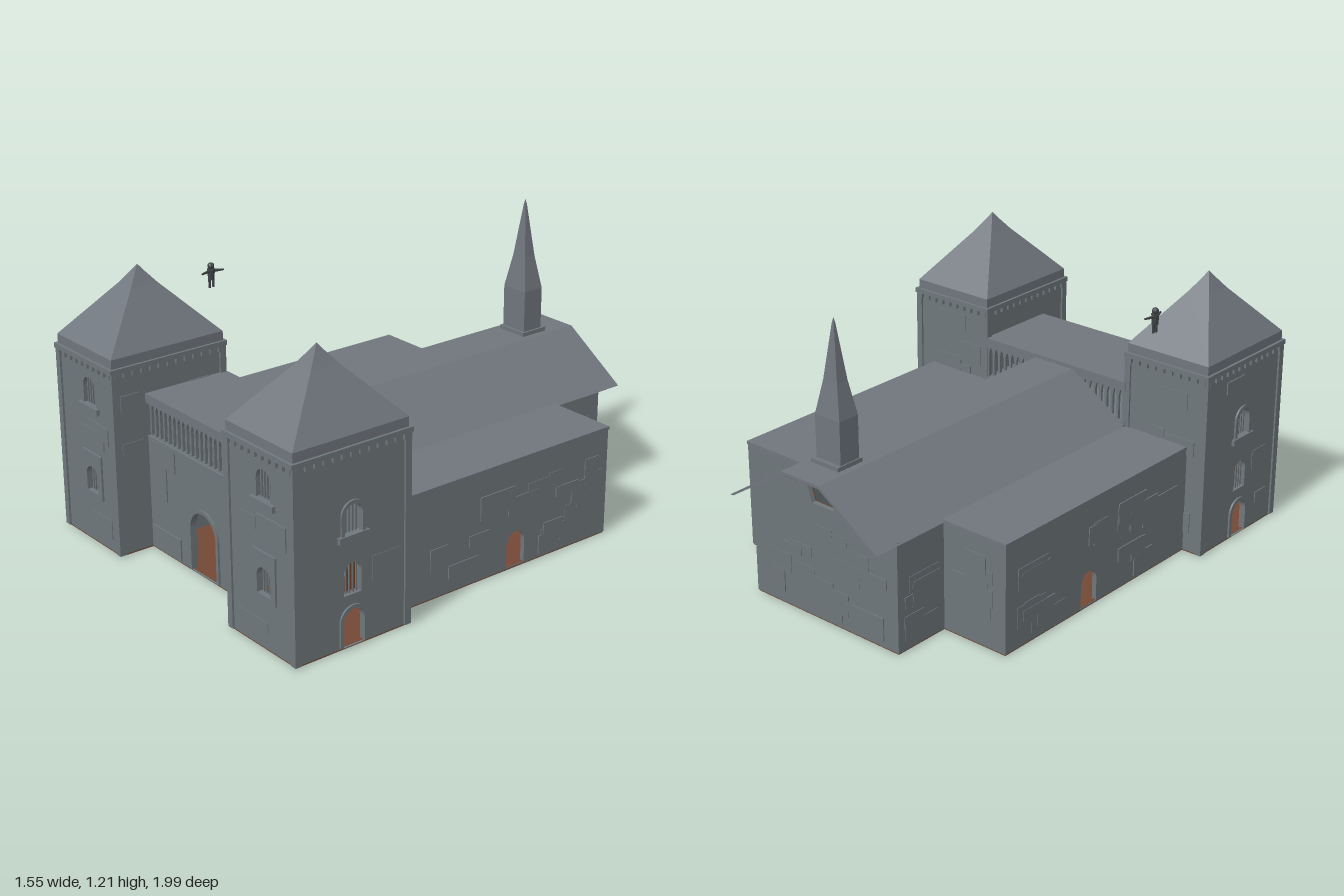
import * as THREE from 'three';

const mat = (name, color) => {
  const m = new THREE.MeshStandardMaterial({ color, flatShading: true });
  m.name = name;
  return m;
};

export function createModel() {
  const stone = mat('stone grey', 0x6e777b);
  const slate = mat('slate grey', 0x70767d);
  const wood = mat('floor brown', 0x744734);
  const rust = mat('timber rust', 0x75411f);
  const dark = mat('figure grey', 0x3f4347);
  const root = new THREE.Group();
  root.name = 'castle';

  let seed = 7;
  const rnd = () => (seed = (seed * 16807) % 2147483647) / 2147483647;

  const add = (parent, name, geo, m, x = 0, y = 0, z = 0) => {
    const mesh = new THREE.Mesh(geo, m);
    mesh.name = name;
    mesh.position.set(x, y, z);
    parent.add(mesh);
    return mesh;
  };
  // box given by its limits
  const box = (parent, name, m, x0, x1, y0, y1, z0, z1) =>
    add(parent, name, new THREE.BoxGeometry(x1 - x0, y1 - y0, z1 - z0), m, (x0 + x1) / 2, (y0 + y1) / 2, (z0 + z1) / 2);
  const extrude = (shape, depth) =>
    new THREE.ExtrudeGeometry(shape, { depth, bevelEnabled: false, curveSegments: 8 });
  const poly = (pts, Type = THREE.Shape) => new Type(pts.map(p => new THREE.Vector2(...p)));

  // round-topped outline standing at (u, v)
  const arch = (Type, u, v, w, h) => {
    const p = new Type(), r = w / 2;
    p.moveTo(u - r, v);
    p.lineTo(u + r, v);
    p.lineTo(u + r, v + h - r);
    p.absarc(u, v + h - r, r, 0, Math.PI, false);
    p.lineTo(u - r, v);
    return p;
  };

  // wall whose local +z faces outward, with openings, trims and raised stones
  const wall = (parent, name, w, h, x, z, turn, openings = [], count = 10) => {
    const g = new THREE.Group();
    g.name = name;
    g.position.set(x, 0.006, z);
    g.rotation.y = turn;
    parent.add(g);
    const s = poly([[-w / 2, 0], [w / 2, 0], [w / 2, h], [-w / 2, h]]);
    for (const o of openings) s.holes.push(arch(THREE.Path, o.u, o.v, o.w, o.h));
    add(g, name + 'Panel', extrude(s, 0.02), stone, 0, 0, -0.02);
    for (const o of openings) {
      if (o.frame) {
        const f = arch(THREE.Shape, o.u, o.v, o.w + 0.03, o.h + 0.015);
        f.holes.push(arch(THREE.Path, o.u, o.v, o.w, o.h));
        add(g, 'archTrim', extrude(f, 0.008), stone);
      }
      if (o.square) {
        const f = poly([[-0.068, -0.02], [0.068, -0.02], [0.068, 0.17], [-0.068, 0.17]].map(p => [p[0] + o.u, p[1] + o.v]));
        f.holes.push(arch(THREE.Path, o.u, o.v, o.w, o.h));
        add(g, 'windowSurround', extrude(f, 0.008), stone);
      }
      if (o.sill) box(g, 'windowSill', stone, o.u - 0.068, o.u + 0.068, o.v - 0.025, o.v, 0, 0.014);
      if (o.bars) for (let i = 1; i < 5; i++)
        add(g, 'windowBar', new THREE.BoxGeometry(0.006, o.h - 0.005, 0.006), stone, o.u - o.w / 2 + i * o.w / 5, o.v + o.h / 2, -0.012);
      if (o.shutter)
        box(g, 'shutter', rust, o.u + (o.shutter < 1 ? 0 : -o.w / 2), o.u + o.w / 2, o.v, o.v + o.h, -0.035, -0.03);
    }
    for (let i = 0; i < count; i++) {
      const bw = 0.07 + rnd() * 0.12, bh = 0.04 + rnd() * 0.06;
      const u = (rnd() - 0.5) * (w - bw - 0.06), v = 0.01 + rnd() * (h - bh - 0.06);
      const hit = openings.some(o => Math.abs(u - o.u) < (bw + o.w) / 2 + 0.04 && v < o.v + o.h + 0.06 && v + bh > o.v - 0.04);
      if (!hit) box(g, 'raisedStone', stone, u - bw / 2, u + bw / 2, v, v + bh, 0, 0.002 + rnd() * 0.003);
    }
    return g;
  };

  // four-sided stacked taper: rows of [fraction of half width, y]
  const taper = (parent, name, hx, hz, rows, x, z) => {
    const geo = new THREE.LatheGeometry(rows.map(r => new THREE.Vector2(r[0], r[1])), 4);
    geo.rotateY(Math.PI / 4);
    geo.scale(hx * Math.SQRT2, 1, hz * Math.SQRT2);
    add(parent, name, geo.toNonIndexed(), slate, x, 0, z);
  };
  const Q = Math.PI / 2;

  // towers
  for (const cx of [-0.565, 0.565]) {
    const t = new THREE.Group();
    t.name = cx < 0 ? 'rightTower' : 'leftTower';
    root.add(t);
    const cz = 0.723, hx = 0.195, hz = 0.257;
    const side = [
      { u: 0, v: 0.005, w: 0.095, h: 0.145, frame: true },
      { u: 0, v: 0.205, w: 0.08, h: 0.125, bars: true, shutter: 1 },
      { u: 0, v: 0.445, w: 0.08, h: 0.115, bars: true, sill: true, frame: true }];
    const front = [
      { u: 0.022, v: 0.215, w: 0.08, h: 0.11, bars: true, square: true, shutter: 1 },
      { u: 0.022, v: 0.585, w: 0.085, h: 0.115, bars: true, sill: true, shutter: 0.5 }];
    wall(t, 'towerFront', 2 * hx, 0.77, cx, cz + hz, 0, front);
    wall(t, 'towerBack', 2 * hx, 0.77, cx, cz - hz, Math.PI);
    wall(t, 'towerSide', 2 * hz, 0.77, cx + hx, cz, Q, side);
    wall(t, 'towerSide', 2 * hz, 0.77, cx - hx, cz, -Q, side);
    for (const sx of [-1, 1]) for (const sz of [-1, 1])
      add(t, 'cornerStrip', new THREE.BoxGeometry(0.028, 0.77, 0.028), stone, cx + sx * (hx - 0.006), 0.391, cz + sz * (hz - 0.006));
    // toothed band under the roof
    add(t, 'cornice', new THREE.BoxGeometry(0.41, 0.02, 0.54), stone, cx, 0.777, cz);
    for (let i = 0; i < 10; i++) for (const s of [-1, 1])
      add(t, 'corniceTooth', new THREE.BoxGeometry(0.022, 0.022, 0.012), stone, cx - 0.18 + i * 0.04, 0.757, cz + s * 0.263);
    for (let i = 0; i < 13; i++) for (const s of [-1, 1])
      add(t, 'corniceTooth', new THREE.BoxGeometry(0.012, 0.022, 0.022), stone, cx + s * 0.199, 0.757, cz - 0.24 + i * 0.04);
    taper(t, 'towerRoof', 0.194, 0.258, [[1, 0.785], [1, 0.825], [0.24, 1.03], [0.08, 1.08], [0, 1.107]], cx, cz);
  }

  // gatehouse with open gallery
  const gate = new THREE.Group();
  gate.name = 'gatehouse';
  root.add(gate);
  wall(gate, 'gateFront', 0.74, 0.465, 0, 0.83, 0, [{ u: -0.007, v: 0.005, w: 0.165, h: 0.262, frame: true }], 0);
  box(gate, 'facingStone', stone, -0.36, -0.165, 0.01, 0.105, 0.83, 0.836);
  box(gate, 'facingStone', stone, 0.18, 0.36, 0.01, 0.14, 0.83, 0.836);
  box(gate, 'facingStone', stone, -0.36, -0.25, 0.235, 0.47, 0.83, 0.835);
  box(gate, 'facingStone', stone, -0.25, -0.19, 0.375, 0.47, 0.83, 0.835);
  wall(gate, 'gateBack', 0.74, 0.465, 0, 0.47, 0, [], 0);
  box(gate, 'rearStep', stone, -0.1, 0.09, 0.01, 0.045, 0.47, 0.5);
  box(gate, 'galleryFloor', stone, -0.37, 0.37, 0.462, 0.48, 0.455, 0.833);
  box(gate, 'galleryRoof', slate, -0.37, 0.37, 0.618, 0.656, 0.455, 0.837);
  const screen = poly([[-0.365, 0.478], [0.365, 0.478], [0.365, 0.622], [-0.365, 0.622]]);
  for (let i = 0; i < 24; i++) {
    const u = -0.345 + i * 0.03, r = 0.0095;
    screen.holes.push(poly([[u - r, 0.483], [u + r, 0.483], [u + r, 0.585], [u + r * 0.6, 0.605], [u, 0.616], [u - r * 0.6, 0.605], [u - r, 0.585]], THREE.Path));
  }
  for (const z of [0.81, 0.46]) add(gate, 'galleryColonnade', extrude(screen, 0.012), stone, 0, 0, z);

  // nave, aisles and rear bay
  const hall = new THREE.Group();
  hall.name = 'hall';
  root.add(hall);
  for (const s of [-1, 1]) {
    wall(hall, 'aisleSide', 1.11, 0.445, s * 0.675, -0.085, s * Q, [{ u: s * 0.065, v: 0.005, w: 0.095, h: 0.145 }], 26);
    wall(hall, 'aisleBack', 0.305, 0.445, s * 0.5225, -0.64, Math.PI, [], 7);
    wall(hall, 'baySide', 0.26, 0.445, s * 0.375, -0.76, s * Q, [], 7);
    box(hall, 'aisleRoof', slate, Math.min(s * 0.36, s * 0.678), Math.max(s * 0.36, s * 0.678), 0.45, 0.463, -0.643, 0.47);
  }
  wall(hall, 'bayBack', 0.75, 0.455, 0, -0.89, Math.PI, [], 16);
  const gable = poly([[-0.37, 0.455], [0.37, 0.455], [0.1, 0.63], [-0.1, 0.63]]);
  gable.holes.push(poly([[-0.055, 0.485], [0.055, 0.485], [0.08, 0.56], [0.08, 0.618], [-0.08, 0.618], [-0.08, 0.56]], THREE.Path));
  add(hall, 'rearGable', extrude(gable, 0.02), stone, 0, 0, -0.89);
  add(hall, 'gableLining', extrude(gable, 0.004), rust, 0, 0, -0.87);
  const roof = poly([[-0.382, 0.455], [-0.366, 0.455], [-0.096, 0.628], [0.096, 0.628], [0.366, 0.455], [0.382, 0.455], [0.097, 0.641], [-0.097, 0.641]]);
  add(hall, 'naveRoof', extrude(roof, 1.46), slate, 0, 0, -1);
  box(hall, 'roofBoarding', rust, -0.094, 0.094, 0.624, 0.629, -0.995, 0.45);

  // spire
  box(hall, 'spirePlinth', stone, -0.07, 0.07, 0.635, 0.658, -0.872, -0.745);
  taper(hall, 'spire', 0.0625, 0.048, [[1, 0.65], [1, 0.832], [0.56, 0.97], [0.08, 1.19], [0, 1.21]], -0.002, -0.805);

  // ground floor
  box(root, 'hallFloor', wood, -0.672, 0.672, 0, 0.012, -0.637, 0.468);
  box(root, 'bayFloor', wood, -0.372, 0.372, 0, 0.012, -0.887, -0.637);
  box(root, 'gateFloor', wood, -0.37, 0.37, 0, 0.012, 0.468, 0.828);
  for (const s of [-1, 1]) add(root, 'towerFloor', new THREE.BoxGeometry(0.386, 0.012, 0.51), wood, s * 0.565, 0.006, 0.723);

  // small hovering figure with spread arms
  const fig = new THREE.Group();
  fig.name = 'figure';
  fig.position.set(-0.555, 0.94, 0.385);
  root.add(fig);
  add(fig, 'head', new THREE.SphereGeometry(0.014, 10, 8), dark, 0, 0.09, 0);
  add(fig, 'torso', new THREE.CylinderGeometry(0.016, 0.013, 0.045, 8), dark, 0, 0.056, 0);
  for (const s of [-1, 1]) {
    add(fig, 'leg', new THREE.CylinderGeometry(0.006, 0.005, 0.04, 6), dark, 0, 0.02, s * 0.009);
    const arm = add(fig, 'arm', new THREE.CylinderGeometry(0.004, 0.007, 0.042, 6), dark, 0.006, 0.068, s * 0.032);
    arm.rotation.set(s * Q, 0, 0);
    arm.rotateZ(-0.3);
  }
  return root;
}
